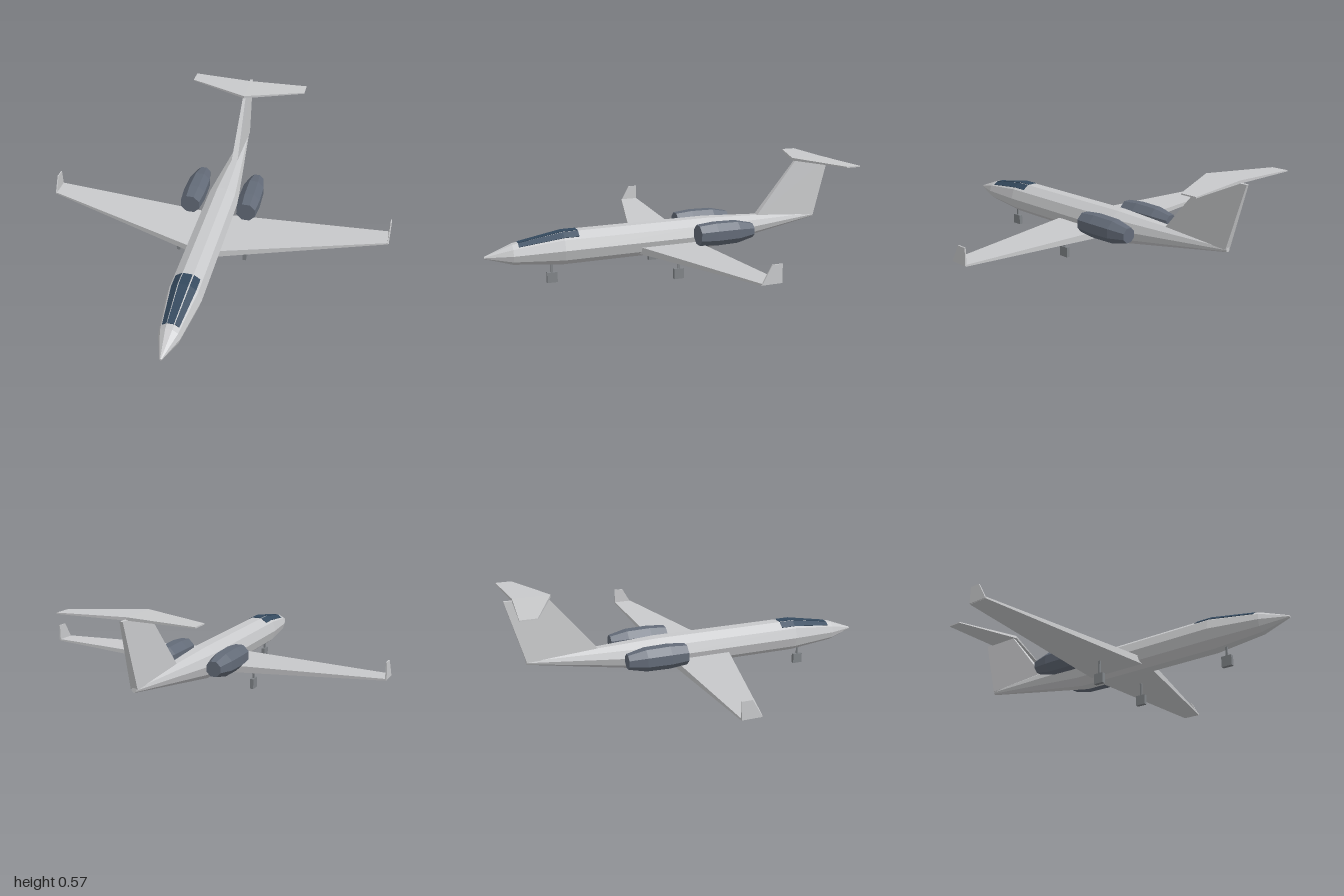
import * as THREE from 'three';

const V = (x, y, z) => new THREE.Vector3(x, y, z);
const mat = (name, color) => {
  const m = new THREE.MeshStandardMaterial({ color });
  m.name = name;
  return m;
};

// Faceted closed solid through a list of rings with equal point counts
function loft(rings) {
  const tris = [];
  const n = rings[0].length;
  for (let i = 0; i < rings.length - 1; i++) {
    const a = rings[i], b = rings[i + 1];
    for (let j = 0; j < n; j++) {
      const k = (j + 1) % n;
      tris.push([a[j], a[k], b[k]], [a[j], b[k], b[j]]);
    }
  }
  const first = rings[0], last = rings[rings.length - 1];
  for (let j = 1; j < n - 1; j++) {
    tris.push([first[0], first[j + 1], first[j]], [last[0], last[j], last[j + 1]]);
  }
  // Turn faces outward whichever way the rings run
  let volume = 0;
  for (const [a, b, c] of tris) volume += a.dot(b.clone().cross(c));
  const points = tris.flatMap(([a, b, c]) => (volume < 0 ? [a, c, b] : [a, b, c]));
  const g = new THREE.BufferGeometry().setFromPoints(points);
  g.computeVertexNormals();
  return g;
}

// Regular polygon ring facing along z
function ring(x, y, z, r, sides, phase = 0) {
  return Array.from({ length: sides }, (_, i) => {
    const a = phase + (i / sides) * Math.PI * 2;
    return V(x + r * Math.cos(a), y + r * Math.sin(a), z);
  });
}

// Rectangular wing section at x, from front z to back z
const chord = (x, front, back, low, high) =>
  [V(x, low, front), V(x, high, front), V(x, high, back), V(x, low, back)];

// Rectangular fin section at height y (front and back may differ)
const level = (x, half, front, yFront, back, yBack) =>
  [V(x - half, yFront, front), V(x + half, yFront, front), V(x + half, yBack, back), V(x - half, yBack, back)];

export function createModel() {
  const group = new THREE.Group();
  const paint = mat('pale grey paint', 0xc8c9cb);
  const engineGrey = mat('slate engine', 0x636b78);
  const glass = mat('dark blue glass', 0x34495e);
  const gearGrey = mat('gear grey', 0x808488);

  const add = (name, geometry, material, parent = group) => {
    const mesh = new THREE.Mesh(geometry, material);
    mesh.name = name;
    parent.add(mesh);
    return mesh;
  };

  // Fuselage stations: z, centre height, radius
  const stations = [
    [1, 0.17, 0.006], [0.86, 0.175, 0.055], [0.6, 0.185, 0.091],
    [-0.22, 0.185, 0.091], [-0.91, 0.226, 0.013],
  ];
  add('fuselage', loft(stations.map(([z, y, r]) => ring(0, y, z, r, 10))), paint);

  // Cockpit glass: thin plates lying on the three upper facets
  const glassStations = [[0.83, 0.1762, 0.0592], [0.6, 0.185, 0.091], [0.52, 0.185, 0.091]];
  const facets = [[45, 70, 54], [74.5, 105.5, 90], [110, 135, 126]];
  const windows = new THREE.Group();
  windows.name = 'cockpitWindows';
  group.add(windows);
  const rad = THREE.MathUtils.degToRad;
  for (const [from, to, mid] of facets) {
    const rings = glassStations.map(([z, y, r]) => {
      const at = (deg, lift) => {
        const d = (r * Math.cos(rad(18)) + lift) / Math.cos(rad(deg - mid));
        return V(d * Math.cos(rad(deg)), y + d * Math.sin(rad(deg)), z);
      };
      return [at(from, -0.003), at(to, -0.003), at(to, 0.003), at(from, 0.003)];
    });
    add('cockpitWindow', loft(rings), glass, windows);
  }

  // Main wing, swept and rising to the tips
  add('wing', loft([
    chord(-0.95, -0.055, -0.157, 0.184, 0.193),
    chord(0, 0.205, -0.135, 0.112, 0.153),
    chord(0.95, -0.055, -0.157, 0.184, 0.193),
  ]), paint);

  // Tail fin and high tailplane
  add('tailFin', loft([
    level(0, 0.018, -0.53, 0.245, -0.908, 0.228),
    level(0, 0.008, -0.785, 0.556, -1, 0.556),
  ]), paint);
  add('tailplane', loft([
    chord(-0.345, -0.9, -0.984, 0.556, 0.562),
    chord(0, -0.765, -0.957, 0.552, 0.567),
    chord(0.345, -0.9, -0.984, 0.556, 0.562),
  ]), paint);

  for (const [side, s] of [['left', 1], ['right', -1]]) {
    add(side + 'Winglet', loft([
      level(s * 0.95, 0.004, -0.055, 0.186, -0.157, 0.186),
      level(s * 0.95, 0.003, -0.105, 0.275, -0.157, 0.275),
    ]), paint);

    // Engine nacelle
    const nacelle = [[-0.105, 0.057], [-0.2, 0.066], [-0.33, 0.063], [-0.425, 0.041]];
    add(side + 'Engine', loft(nacelle.map(([z, r]) =>
      ring(s * 0.16, 0.215, z, r, 8, Math.PI / 8))), engineGrey);
  }

  // Landing gear: block wheel on a thin strut
  for (const [name, x, z, top] of [
    ['noseGear', 0, 0.657, 0.13], ['leftGear', 0.19, 0.02, 0.13], ['rightGear', -0.19, 0.02, 0.13],
  ]) {
    const gear = new THREE.Group();
    gear.name = name;
    gear.position.set(x, 0, z);
    group.add(gear);
    add('wheel', new THREE.BoxGeometry(0.02, 0.055, 0.055), gearGrey, gear).position.y = 0.0275;
    add('strut', new THREE.BoxGeometry(0.01, top - 0.05, 0.01), gearGrey, gear).position.y = (top + 0.05) / 2;
  }
  return group;
}
